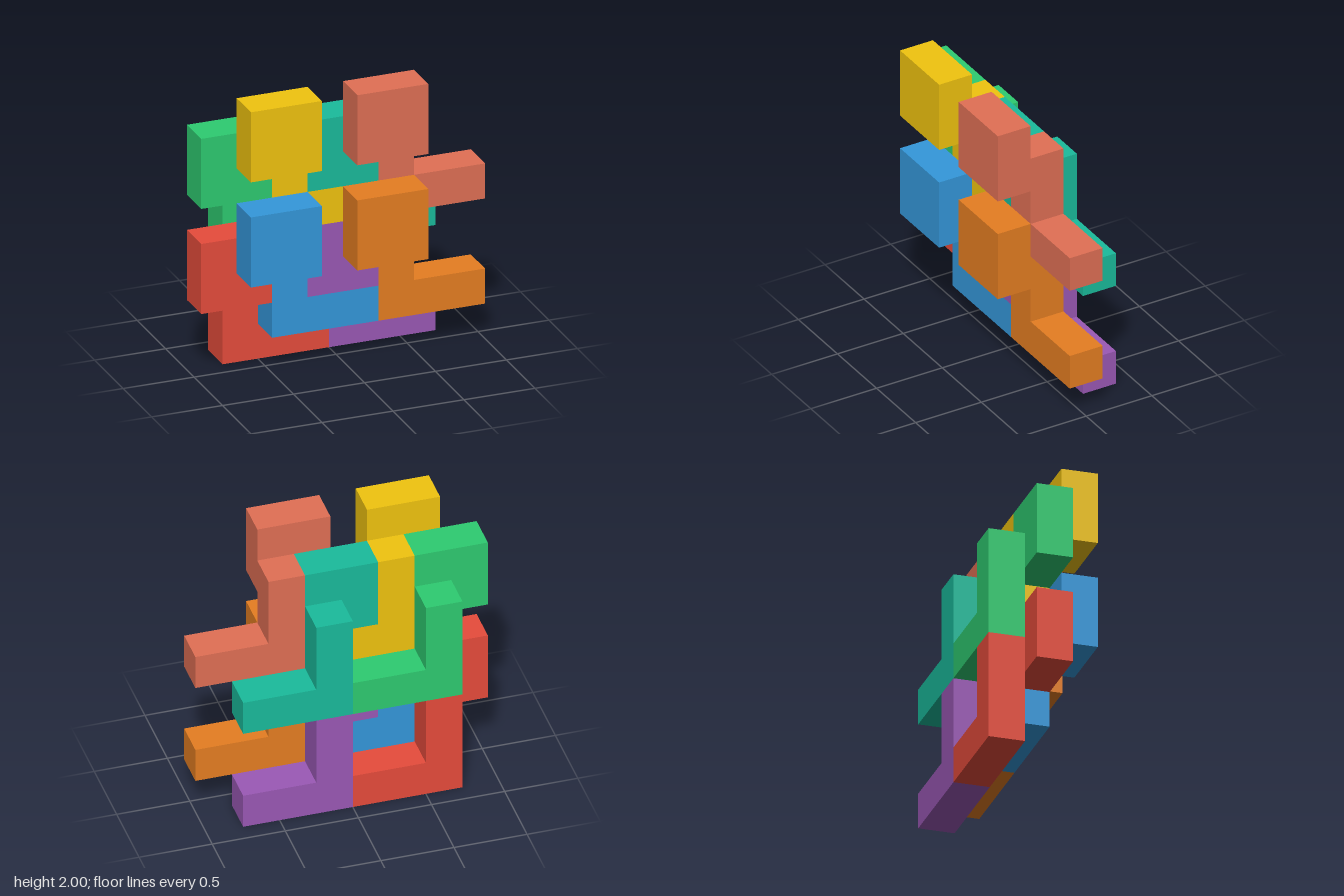
import * as THREE from 'three';

const U = 0.25; // edge of one unit cube

// Flat L: three units wide, three units high, one unit deep
function makeLGeometry() {
  const shape = new THREE.Shape();
  [[0, 0], [3, 0], [3, 1], [1, 1], [1, 3], [0, 3]].forEach(([x, y], i) =>
    i ? shape.lineTo(x * U, y * U) : shape.moveTo(x * U, y * U));
  shape.closePath();
  return new THREE.ExtrudeGeometry(shape, { depth: U, bevelEnabled: false });
}

export function createModel() {
  const model = new THREE.Group();
  model.name = 'interlockingPieces';
  const lGeometry = makeLGeometry();
  const blockGeometry = new THREE.BoxGeometry(2 * U, 2 * U, U);

  // One piece: an L with a 2 x 2 block in front of the top of its upright
  function addPiece(name, color, x, y, z) {
    const material = new THREE.MeshStandardMaterial({ color });
    const piece = new THREE.Group();
    piece.name = name;
    const body = new THREE.Mesh(lGeometry, material);
    body.name = name + 'Body';
    const block = new THREE.Mesh(blockGeometry, material);
    block.name = name + 'Block';
    block.position.set(0, 3 * U, 1.5 * U);
    piece.add(body, block);
    piece.position.set(x, y, z);
    model.add(piece);
  }

  // Two tiers of four pieces: two at the back, two one step forward and up
  const tiers = [
    ['lower', 0, [0xe74c3c, 0x9b59b6, 0x3498db, 0xe67e22]],
    ['upper', 3 * U, [0x2ecc71, 0x1abc9c, 0xf1c40f, 0xe17055]],
  ];
  const slots = [
    ['BackRightPiece', -0.75, 0, -0.375],
    ['BackLeftPiece', 0, 0, -0.375],
    ['FrontRightPiece', -0.5, U, -0.125],
    ['FrontLeftPiece', 0.25, U, -0.125],
  ];
  for (const [tier, lift, colors] of tiers) {
    slots.forEach(([slot, x, y, z], i) => addPiece(tier + slot, colors[i], x, y + lift, z));
  }
  return model;
}
